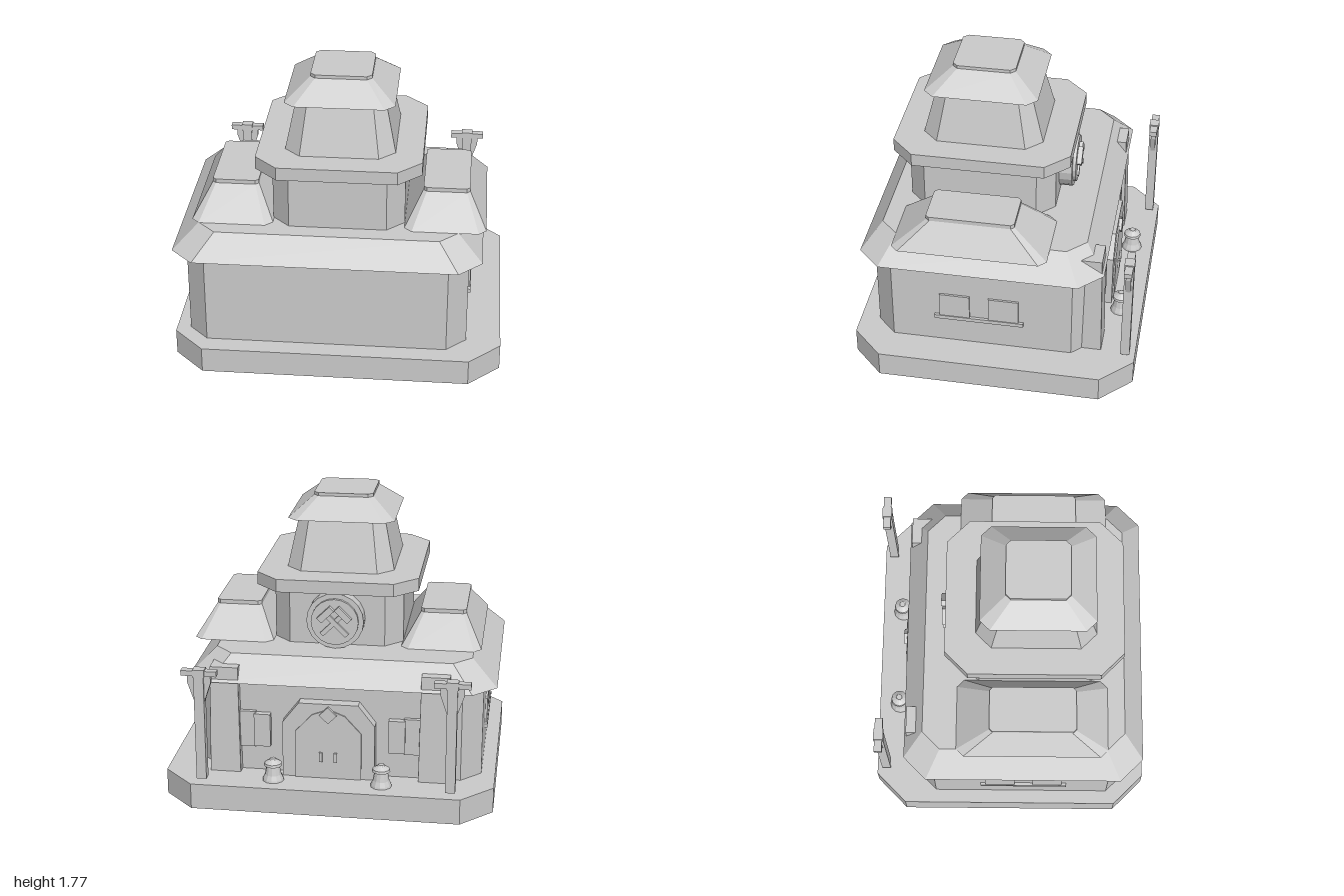
import * as THREE from 'three';

export function createModel() {
  const model = new THREE.Group();
  model.name = 'towerHouse';
  const stone = new THREE.MeshStandardMaterial({
    color: 0xcccccc, flatShading: true, side: THREE.DoubleSide });
  stone.name = 'light grey';

  function add(name, geometry, x = 0, y = 0, z = 0, parent = model) {
    const mesh = new THREE.Mesh(geometry, stone);
    mesh.name = name;
    mesh.position.set(x, y, z);
    parent.add(mesh);
    return mesh;
  }

  // Box given by its limits
  function box(name, x0, x1, y0, y1, z0, z1, parent = model) {
    return add(name, new THREE.BoxGeometry(x1 - x0, y1 - y0, z1 - z0),
      (x0 + x1) / 2, (y0 + y1) / 2, (z0 + z1) / 2, parent);
  }

  // Stack of chamfered rectangles, each [y, x0, x1, z0, z1, chamfer]
  function chamfered(name, levels, openBelow = false) {
    const rings = levels.map(([y, x0, x1, z0, z1, c]) => [
      [x1, z1 - c], [x1, z0 + c], [x1 - c, z0], [x0 + c, z0],
      [x0, z0 + c], [x0, z1 - c], [x0 + c, z1], [x1 - c, z1],
    ].map(([x, z]) => [x, y, z]));
    const pos = [];
    const tri = (a, b, c) => pos.push(...a, ...b, ...c);
    for (let k = 0; k < rings.length - 1; k++) {
      for (let i = 0; i < 8; i++) {
        const j = (i + 1) % 8, lo = rings[k], hi = rings[k + 1];
        tri(lo[i], lo[j], hi[j]);
        tri(lo[i], hi[j], hi[i]);
      }
    }
    const bottom = rings[0], top = rings[rings.length - 1];
    for (let i = 1; i < 7; i++) {
      if (!openBelow) tri(bottom[0], bottom[i + 1], bottom[i]);
      tri(top[0], top[i], top[i + 1]);
    }
    const g = new THREE.BufferGeometry();
    g.setAttribute('position', new THREE.Float32BufferAttribute(pos, 3));
    g.computeVertexNormals();
    return add(name, g);
  }

  const polygon = pts => pts.map(([x, y]) => new THREE.Vector2(x, y));
  const plate = (pts, depth) =>
    new THREE.ExtrudeGeometry(new THREE.Shape(polygon(pts)), { depth, bevelEnabled: false });

  // Hollow base, main hall and its sloping roof
  chamfered('base', [[0, -1, 1, -0.87, 0.87, 0.19], [0.16, -1, 1, -0.87, 0.87, 0.19]], true);
  chamfered('hallWalls', [
    [0.16, -0.915, 0.79, -0.6, 0.75, 0.12], [0.74, -0.915, 0.79, -0.6, 0.75, 0.12]]);
  chamfered('hallRoof', [
    [0.74, -0.995, 0.87, -0.66, 0.83, 0.14], [0.89, -0.84, 0.72, -0.54, 0.71, 0.11]]);

  // Side roofs
  for (const s of [-1, 1]) {
    const level = (y, a, b, z0, z1, c) =>
      [y, Math.min(s * a, s * b), Math.max(s * a, s * b), z0, z1, c];
    chamfered('sideRoof', [
      level(0.89, 0.395, 0.885, -0.33, 0.605, 0.045),
      level(1.06, 0.5, 0.78, -0.125, 0.4, 0.02)]);
    chamfered('sideRoofCap', [
      level(1.06, 0.5, 0.78, -0.125, 0.405, 0.02),
      level(1.085, 0.5, 0.78, -0.125, 0.405, 0.02)]);
  }

  // Tower
  chamfered('towerWalls', [
    [0.89, -0.4, 0.395, -0.3, 0.6, 0.105], [1.24, -0.4, 0.395, -0.3, 0.6, 0.105]]);
  chamfered('towerLedge', [
    [1.24, -0.495, 0.495, -0.395, 0.685, 0.14], [1.32, -0.495, 0.495, -0.395, 0.685, 0.14]]);
  chamfered('upperTower', [
    [1.32, -0.33, 0.33, -0.21, 0.52, 0.095], [1.63, -0.265, 0.265, -0.13, 0.44, 0.07]]);
  chamfered('towerRoof', [
    [1.63, -0.33, 0.325, -0.18, 0.505, 0.06], [1.75, -0.185, 0.18, -0.025, 0.35, 0.03]]);
  chamfered('towerRoofCap', [
    [1.75, -0.185, 0.18, -0.03, 0.35, 0.03], [1.77, -0.185, 0.18, -0.03, 0.35, 0.03]]);

  // Side windows with sills
  for (const [x0, x1] of [[-0.928, -0.9], [0.775, 0.803]]) {
    for (const z of [0.24, -0.062]) box('sideWindow', x0, x1, 0.355, 0.52, z - 0.093, z + 0.093);
    box('sideSill', x0 - 0.005, x1 + 0.005, 0.335, 0.36, -0.185, 0.365);
  }

  // Round plaque with crossed tools on the back of the tower
  const plaque = new THREE.Group();
  plaque.name = 'plaque';
  plaque.position.set(0, 1.065, -0.3);
  plaque.rotation.y = Math.PI;
  model.add(plaque);
  const disc = (name, r, z0, z1) =>
    add(name, new THREE.CylinderGeometry(r, r, z1 - z0, 20), 0, 0, (z0 + z1) / 2, plaque)
      .rotation.x = Math.PI / 2;
  disc('plaqueDisc', 0.175, -0.01, 0.08);
  disc('plaqueFace', 0.145, 0.08, 0.1);
  for (const s of [-1, 1]) {
    const tool = new THREE.Group();
    tool.name = 'crossedTool';
    tool.rotation.z = s * Math.PI / 4;
    plaque.add(tool);
    box('toolHandle', -0.014, 0.014, -0.11, 0.08, 0.095, 0.117 + s * 0.004, tool);
    box('toolHead', -0.055, 0.055, 0.055, 0.095, 0.095, 0.126 + s * 0.004, tool);
  }

  // Back door: cut-corner surround, gabled leaf, keystone and handles
  add('doorSurround', plate([
    [-0.28, 0], [0.28, 0], [0.28, 0.35], [0.18, 0.48], [-0.18, 0.48], [-0.28, 0.35]], 0.09),
  0, 0.16, -0.67);
  add('doorLeaf', plate([
    [-0.2, 0], [0.2, 0], [0.2, 0.3], [0.1, 0.41], [0, 0.45], [-0.1, 0.41], [-0.2, 0.3]], 0.05),
  0, 0.16, -0.679);
  add('doorKeystone', new THREE.BoxGeometry(0.075, 0.075, 0.05), 0, 0.575, -0.667)
    .rotation.z = Math.PI / 4;
  for (const s of [-1, 1]) {
    box('doorHandle', s * 0.045 - 0.01, s * 0.045 + 0.01, 0.27, 0.33, -0.692, -0.67);
  }

  for (const s of [-1, 1]) {
    // Shuttered back windows
    for (const [c, y0, y1, z] of [[0.41, 0.33, 0.54, -0.64], [0.5, 0.32, 0.55, -0.625]]) {
      box('backWindow', s * c - 0.05, s * c + 0.05, y0, y1, z, -0.59);
    }

    // Leaning pilasters rising through the roof edge
    const x = s * 0.637;
    chamfered('pilaster', [
      [0.16, x - 0.094, x + 0.094, -0.659, -0.5, 0.001],
      [0.835, x - 0.085, x + 0.085, -0.645, -0.52, 0.001]]);

    // Lamp posts with flared brackets and crossbars
    const post = new THREE.Group();
    post.name = 'lampPost';
    post.position.set(s * 0.748, 0, -0.81);
    model.add(post);
    box('postShaft', -0.03, 0.03, 0.185, 0.85, -0.028, 0.028, post);
    add('postBracket', plate([
      [-0.03, 0.68], [0.03, 0.68], [0.07, 0.8], [0.07, 0.845], [-0.07, 0.845], [-0.07, 0.8]],
    0.03), 0, 0, -0.015, post);
    box('postCrossbar', -0.107, 0.107, 0.845, 0.877, -0.024, 0.024, post);
    box('postCap', -0.035, 0.035, 0.84, 0.885, -0.03, 0.03, post);

    // Small stone lanterns beside the door
    const profile = polygon([[0, 0], [0.065, 0], [0.062, 0.012], [0.05, 0.04], [0.04, 0.092],
      [0.055, 0.096], [0.052, 0.112], [0.022, 0.132], [0.018, 0.14], [0, 0.14]]);
    add('lantern', new THREE.LatheGeometry(profile, 12), s * 0.328, 0.16, -0.735);
  }
  return model;
}
